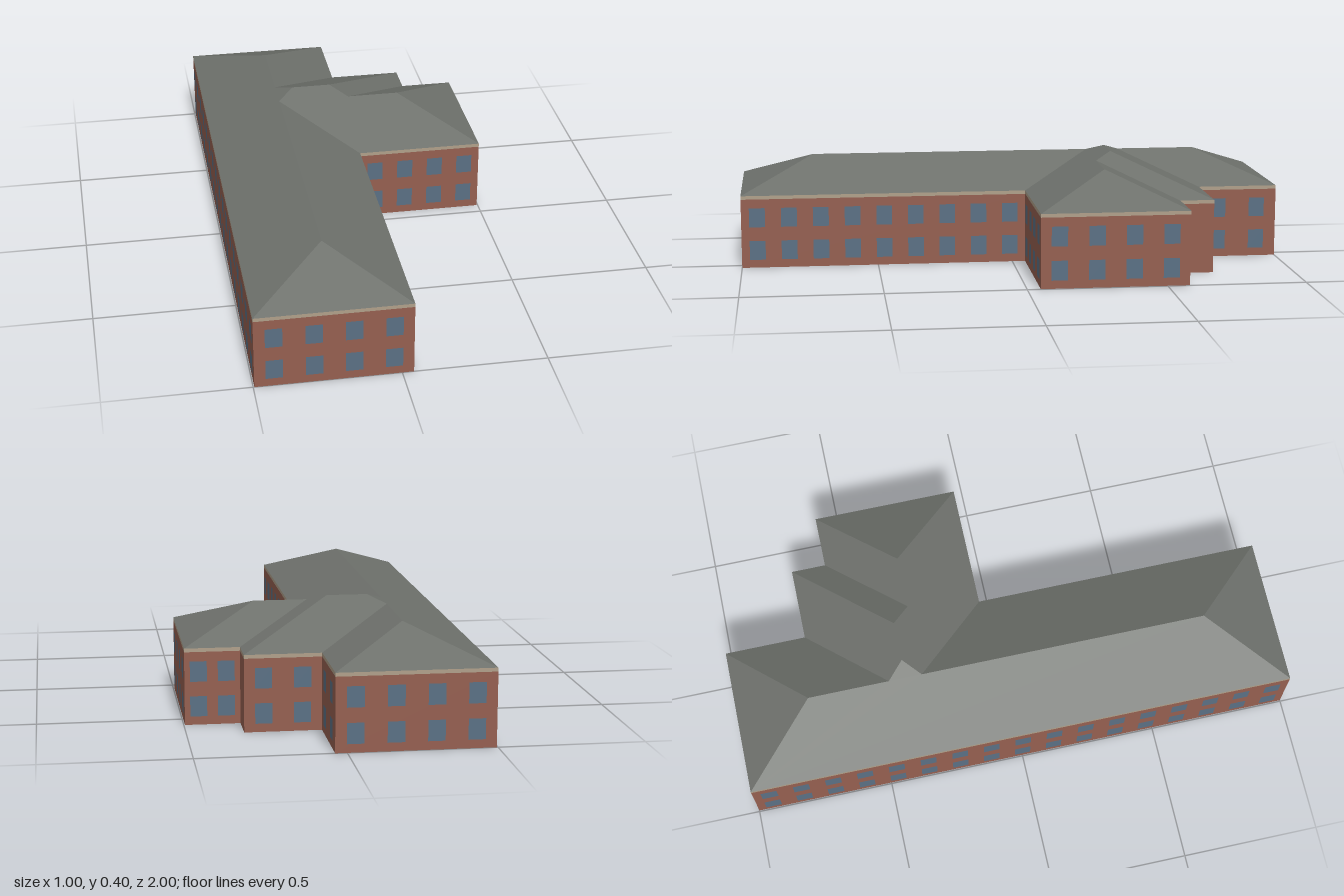
import * as THREE from 'three';

const brick = new THREE.MeshStandardMaterial({ color: 0x955f50, side: THREE.DoubleSide });
brick.name = 'brick';
const trim = new THREE.MeshStandardMaterial({ color: 0xb0a08a, side: THREE.DoubleSide });
trim.name = 'trim';
const glass = new THREE.MeshStandardMaterial({ color: 0x5a7084 });
glass.name = 'glass';
const slate = new THREE.MeshStandardMaterial({ color: 0x6e716c, side: THREE.DoubleSide });
slate.name = 'slate';

const WALL_TOP = 0.255, EAVES = 0.268, SLOPE = 0.403;

// Footprint lines
const W = -0.496, E = 0.04, E2 = 0.305, E3 = 0.496; // main block, middle wing, end wing
const S = -0.048, N2 = -0.58, N1 = -0.705; // wing front, end wing back, middle wing back

// Footprint corners [x, z], counter-clockwise seen from above
const footprint = [
  [W, 1], [E, 1], [E, S], [E3, S], [E3, N2], [E2, N2], [E2, N1], [E, N1], [E, -1], [W, -1],
];

function plane(name, width, height, material, x, y, z) {
  const mesh = new THREE.Mesh(new THREE.PlaneGeometry(width, height), material);
  mesh.name = name;
  mesh.position.set(x, y, z);
  return mesh;
}

// One wall facing +z in its own frame: brick, pale band and two rows of windows
function makeWall([x0, z0], [x1, z1]) {
  const length = Math.hypot(x1 - x0, z1 - z0);
  const wall = new THREE.Group();
  wall.name = 'wall';
  wall.position.set((x0 + x1) / 2, 0, (z0 + z1) / 2);
  wall.rotation.y = Math.atan2(-(z1 - z0), x1 - x0);
  wall.add(plane('brickwork', length, WALL_TOP, brick, 0, WALL_TOP / 2, 0));
  wall.add(plane('eavesBand', length, EAVES - WALL_TOP, trim, 0, (EAVES + WALL_TOP) / 2, 0));
  const count = length < 0.15 ? 0 : Math.round(length / 0.12);
  for (let i = 0; i < count; i++) {
    const x = ((i + 0.5) / count - 0.5) * length;
    for (const y of [0.065, 0.187]) wall.add(plane('window', 0.058, 0.071, glass, x, y, 0.002));
  }
  return wall;
}

// Roof points are [x, z, distance from the eaves]; height grows with distance
function makeRoof() {
  const h = (E - W) / 2, m = W + h; // main ridge
  const hb = (S - N1) / 2, ha = (S - N2) / 2; // wing half depths
  const ridgeN = [m, -1 + h, h], ridgeS = [m, 1 - h, h];
  const valleyN = [m, N1 + h, h], valleyS = [m, S - h, h];
  const topW = [W + hb, S - hb, hb], topE = [E2 - hb, S - hb, hb];
  const wingW = [E2 - ha, S - ha, ha], wingE = [E3 - ha, S - ha, ha];
  const e = (x, z) => [x, z, 0];
  const slopes = {
    mainWestSlope: [e(W, -1), ridgeN, valleyN, topW, valleyS, ridgeS, e(W, 1)],
    mainFrontHip: [e(W, 1), ridgeS, e(E, 1)],
    mainBackHip: [e(W, -1), ridgeN, e(E, -1)],
    mainEastSlopeFront: [e(E, 1), ridgeS, valleyS, e(E, S)],
    mainEastSlopeBack: [e(E, -1), ridgeN, valleyN, e(E, N1)],
    wingFrontSlope: [e(E, S), valleyS, topW, topE, wingW, wingE, e(E3, S)],
    middleWingBackSlope: [e(E, N1), valleyN, topW, topE, e(E2, N1)],
    middleWingHip: [e(E2, N1), topE, wingW, e(E2, N2)],
    endWingBackSlope: [e(E2, N2), wingW, wingE, e(E3, N2)],
    endWingHip: [e(E3, N2), wingE, e(E3, S)],
  };
  const roof = new THREE.Group();
  roof.name = 'roof';
  for (const [name, pts] of Object.entries(slopes)) {
    const flat = pts.map(([x, z]) => new THREE.Vector2(x, z));
    // A contour wound clockwise in (x, z) gives faces that point up
    if (!THREE.ShapeUtils.isClockWise(flat)) { flat.reverse(); pts.reverse(); }
    const verts = [];
    for (const tri of THREE.ShapeUtils.triangulateShape(flat, [])) {
      const [a, b, c] = tri.map((i) => pts[i]);
      const turn = (b[0] - a[0]) * (c[1] - a[1]) - (b[1] - a[1]) * (c[0] - a[0]);
      for (const [x, z, d] of turn < 0 ? [a, b, c] : [a, c, b]) verts.push(x, EAVES + SLOPE * d, z);
    }
    const geometry = new THREE.BufferGeometry();
    geometry.setAttribute('position', new THREE.Float32BufferAttribute(verts, 3));
    geometry.computeVertexNormals();
    const mesh = new THREE.Mesh(geometry, slate);
    mesh.name = name;
    roof.add(mesh);
  }
  return roof;
}

export function createModel() {
  const model = new THREE.Group();
  model.name = 'brickBuilding';
  footprint.forEach((p, i) => model.add(makeWall(p, footprint[(i + 1) % footprint.length])));
  model.add(makeRoof());
  return model;
}
